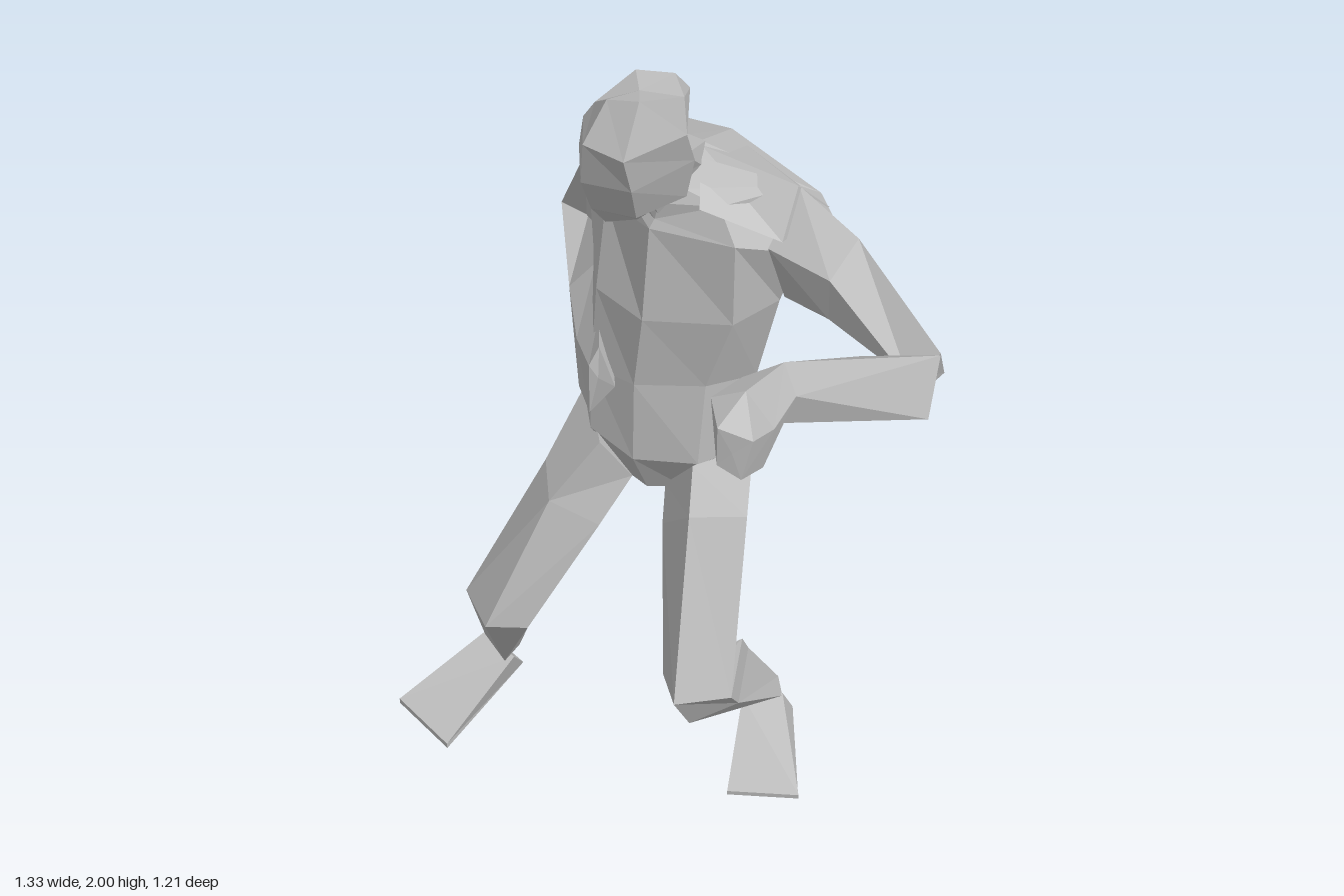
import * as THREE from 'three';

const skin = new THREE.MeshStandardMaterial({ color: 0xb8b8b8 });
skin.name = 'plain grey';

// Joins equal-sized cross-sections into a closed, faceted solid.
function loft(name, rings) {
  const n = rings[0].length;
  const pts = rings.flat().map((p) => new THREE.Vector3(...p));
  const centre = (k) => pts.slice(k * n, k * n + n)
    .reduce((s, p) => s.add(p), new THREE.Vector3()).divideScalar(n);
  const last = rings.length - 1;
  const a = pts.length, b = a + 1;
  pts.push(centre(0), centre(last));
  const tris = [];
  for (let i = 0; i < n; i++) {
    const j = (i + 1) % n;
    for (let k = 0; k < last; k++) {
      const p = k * n + i, q = k * n + j;
      tris.push([p, q, q + n], [p, q + n, p + n]);
    }
    tris.push([a, j, i], [b, last * n + i, last * n + j]);
  }
  // Turn the faces outward whichever way the sections were listed
  let volume = 0;
  for (const [p, q, r] of tris) volume += pts[p].dot(pts[q].clone().cross(pts[r]));
  if (volume < 0) tris.forEach((t) => t.reverse());
  const geo = new THREE.BufferGeometry().setFromPoints(tris.flat().map((i) => pts[i]));
  geo.computeVertexNormals();
  const mesh = new THREE.Mesh(geo, skin);
  mesh.name = name;
  return mesh;
}

export function createModel() {
  const g = new THREE.Group();
  g.name = 'crouchingFigure';
  const add = (name, ...rings) => g.add(loft(name, rings));

  // Torso, twisted toward its right: left, front, right, back around each section
  add('torso',
    [[.17, .85, -.13], [.08, .86, -.05], [0, .87, -.02], [-.05, .88, -.05],
      [-.08, .88, -.12], [-.08, .86, -.27], [.03, .85, -.23], [.16, .84, -.18]],
    [[.24, .98, -.08], [.13, 1, .04], [-.02, 1, .05], [-.13, 1.04, 0],
      [-.17, 1.05, -.12], [-.08, 1.03, -.3], [.05, 1.03, -.25], [.2, 1, -.18]],
    [[.24, 1.17, -.1], [.14, 1.2, .01], [-.02, 1.2, .035], [-.13, 1.2, -.02],
      [-.15, 1.2, -.16], [-.04, 1.2, -.35], [.08, 1.2, -.28], [.22, 1.2, -.19]],
    [[.29, 1.4, -.07], [.2, 1.38, .02], [0, 1.38, .04], [-.12, 1.4, -.04],
      [-.16, 1.4, -.2], [-.09, 1.4, -.38], [.1, 1.42, -.3], [.3, 1.4, -.17]],
    [[.33, 1.54, -.05], [.2, 1.58, .02], [.01, 1.6, .01], [-.11, 1.59, -.11],
      [-.18, 1.57, -.25], [-.13, 1.62, -.44], [.14, 1.64, -.29], [.39, 1.58, -.15]],
    [[.32, 1.69, -.08], [.16, 1.66, -.01], [.02, 1.62, 0], [-.08, 1.65, -.1],
      [-.13, 1.68, -.26], [-.12, 1.65, -.44], [.14, 1.695, -.29], [.36, 1.63, -.16]],
    [[.11, 1.74, -.07], [.08, 1.69, -.02], [.03, 1.66, 0], [-.03, 1.67, -.04],
      [-.06, 1.71, -.08], [-.01, 1.74, -.12], [.05, 1.76, -.12], [.1, 1.76, -.11]]);

  add('neck',
    [[.11, 1.73, -.06], [.03, 1.64, .01], [-.06, 1.69, -.07], [0, 1.74, -.12], [.11, 1.76, -.11]],
    [[.09, 1.8, .03], [.02, 1.74, .09], [-.08, 1.79, .04], [-.05, 1.83, -.02], [.07, 1.83, -.02]]);

  // Head bent forward, from chin to crown
  add('head',
    [[.03, 1.68, .06], [0, 1.67, .09], [-.07, 1.65, .08], [-.09, 1.65, .06], [-.05, 1.68, .03], [.02, 1.7, .03]],
    [[.1, 1.72, .06], [.01, 1.71, .15], [-.09, 1.71, .13], [-.1, 1.72, .06], [-.05, 1.75, 0], [.06, 1.75, 0]],
    [[.12, 1.82, .08], [.01, 1.8, .2], [-.1, 1.8, .18], [-.125, 1.83, .08], [-.06, 1.82, -.03], [.07, 1.82, -.035]],
    [[.11, 1.9, .12], [0, 1.885, .23], [-.09, 1.9, .2], [-.11, 1.91, .1], [-.05, 1.92, -.01], [.09, 1.93, -.025]],
    [[.1, 1.975, .1], [.02, 1.99, .165], [-.05, 1.98, .15], [-.085, 1.945, .1], [-.01, 2, .05], [.07, 1.995, .04]]);

  // Left arm, reaching out and then forward
  add('leftUpperArm',
    [[.32, 1.69, -.08], [.27, 1.58, .01], [.3, 1.41, -.07], [.39, 1.58, -.15]],
    [[.46, 1.61, -.02], [.41, 1.54, .05], [.41, 1.43, .03], [.47, 1.54, -.09]],
    [[.66, 1.42, .1], [.6, 1.36, .13], [.63, 1.31, .09], [.67, 1.34, .055]]);
  add('leftForearm',
    [[.66, 1.415, .1], [.65, 1.31, .19], [.635, 1.31, .06], [.5, 1.41, .125]],
    [[.36, 1.55, .38], [.39, 1.49, .41], [.34, 1.43, .43], [.28, 1.53, .42]]);
  add('leftHand',
    [[.36, 1.55, .38], [.39, 1.49, .41], [.34, 1.43, .43], [.28, 1.53, .42]],
    [[.3, 1.555, .5], [.36, 1.47, .5], [.34, 1.37, .5], [.23, 1.53, .5]],
    [[.26, 1.53, .6], [.33, 1.5, .59], [.31, 1.41, .6], [.26, 1.44, .6]]);

  // Right arm, elbow drawn back and hand beside the waist
  add('rightUpperArm',
    [[-.12, 1.68, -.24], [-.21, 1.56, -.35], [-.17, 1.42, -.33], [-.1, 1.53, -.44], [-.13, 1.65, -.45]],
    [[-.28, 1.36, -.5], [-.31, 1.32, -.52], [-.25, 1.22, -.53], [-.2, 1.28, -.57], [-.24, 1.32, -.605]]);
  add('rightForearm',
    [[-.24, 1.33, -.6], [-.31, 1.32, -.52], [-.25, 1.22, -.53], [-.2, 1.26, -.54]],
    [[-.16, 1.35, -.22], [-.22, 1.29, -.2], [-.18, 1.22, -.2], [-.12, 1.26, -.22]]);
  add('rightHand',
    [[-.16, 1.35, -.22], [-.22, 1.29, -.2], [-.18, 1.22, -.2], [-.12, 1.26, -.22]],
    [[-.12, 1.31, -.06], [-.17, 1.25, -.05], [-.16, 1.14, -.02], [-.08, 1.2, -.03]],
    [[-.1, 1.29, .03], [-.12, 1.25, .05], [-.12, 1.12, .05], [-.06, 1.2, .05]]);

  // Legs: each section lists front, outer, back, inner
  add('leftThigh',
    [[.12, 1, .05], [.24, 1, -.1], [.14, .83, -.16], [.04, .87, -.04]],
    [[.13, .93, .15], [.25, .87, .05], [.16, .8, -.06], [.05, .82, .05]],
    [[.14, .56, .38], [.26, .52, .29], [.18, .53, .25], [.085, .5, .22]]);
  add('leftShin',
    [[.14, .56, .38], [.26, .52, .29], [.25, .5, .06], [.09, .5, .22]],
    [[.16, .41, .28], [.265, .42, .2], [.255, .4, -.02], [.115, .42, .18]],
    [[.24, .12, -.13], [.33, .12, -.16], [.31, .13, -.22], [.23, .11, -.19]]);
  add('leftFoot',
    [[.23, .13, -.13], [.33, .13, -.16], [.35, .01, -.24], [.23, .01, -.23]],
    [[.23, .012, .1], [.41, .012, .08], [.41, 0, .08], [.23, 0, .1]]);

  add('rightThigh',
    [[-.1, 1.03, .04], [-.17, 1.06, -.16], [-.08, .86, -.24], [-.04, .88, -.04]],
    [[-.2, .92, .14], [-.24, .93, 0], [-.18, .8, -.05], [-.1, .8, .06]],
    [[-.32, .66, .31], [-.4, .65, .18], [-.3, .58, .1], [-.24, .6, .23]]);
  add('rightShin',
    [[-.32, .66, .31], [-.4, .65, .18], [-.29, .55, 0], [-.24, .6, .23]],
    [[-.4, .15, -.12], [-.47, .17, -.19], [-.43, .16, -.23], [-.38, .14, -.2]]);
  add('rightFoot',
    [[-.38, .15, -.14], [-.47, .18, -.19], [-.47, .09, -.27], [-.38, .05, -.23]],
    [[-.51, .02, .08], [-.66, .07, -.01], [-.66, .055, -.01], [-.51, .005, .08]]);

  // Fills the shoulder crease between the neck and the left arm
  add('leftCollar',
    [[.1, 1.755, -.1], [.12, 1.66, .01], [.14, 1.69, -.28]],
    [[.32, 1.695, -.07], [.3, 1.6, .01], [.38, 1.6, -.155]]);

  return g;
}
